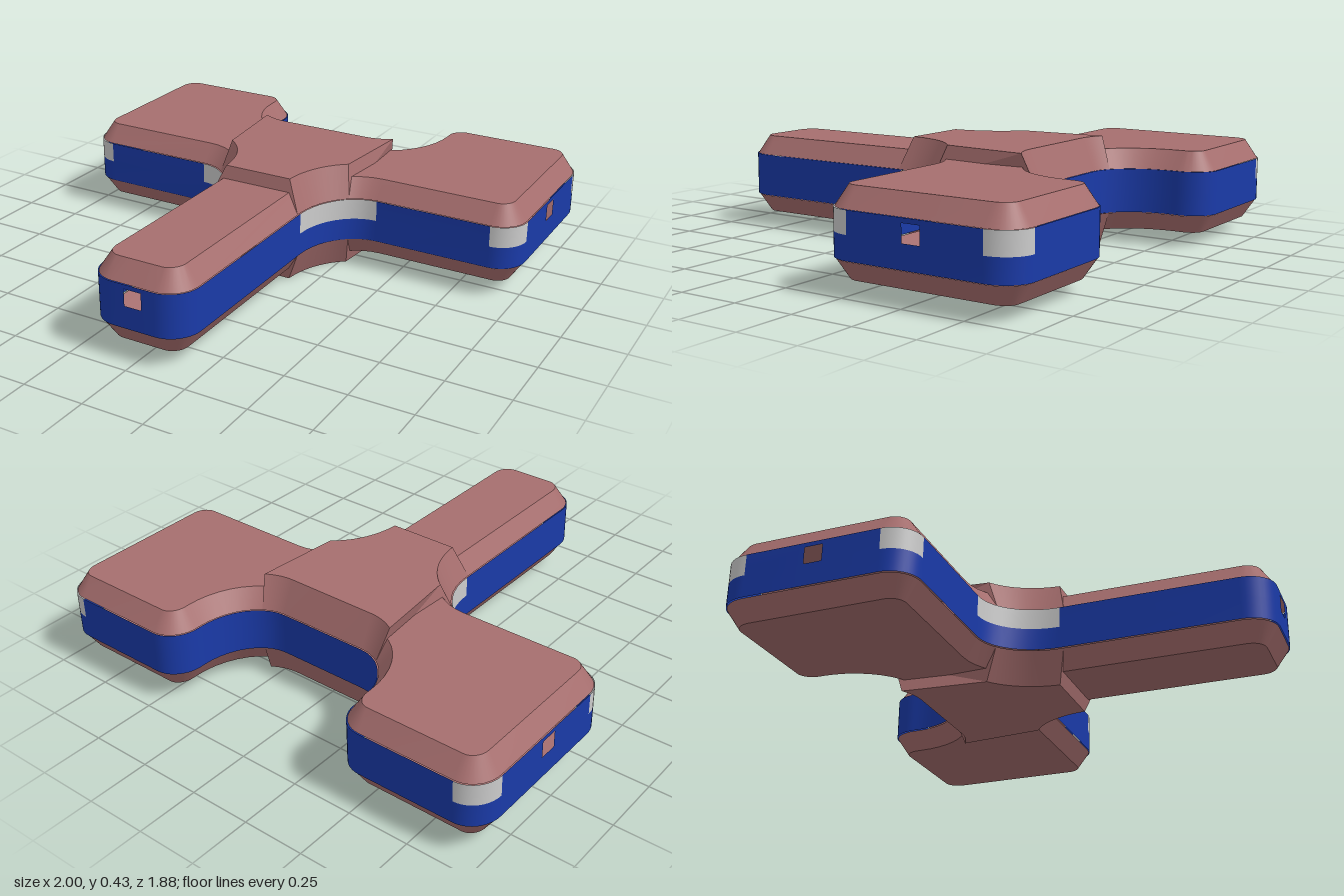
import * as THREE from 'three';
import { toCreasedNormals } from 'three/addons/utils/BufferGeometryUtils.js';

const H = 0.433, PI = Math.PI;
const BLUE = 0x1a3aa8, RED = 0xa66e6e, GREY = 0xcccccc;

// Elliptical arc as a list of [x, z] points
function arc(cx, cz, rx, rz, a0, a1, n = 10) {
  return Array.from({ length: n + 1 }, (_, i) => {
    const a = a0 + ((a1 - a0) * i) / n;
    return [cx + rx * Math.cos(a), cz + rz * Math.sin(a)];
  });
}

const fillet = (d, end) => arc(0.41, 0.1, 0.205 + d, 0.26 + d, PI, end);
const notch = (d, start) => arc(0.19, -0.8, 0.195 + d, 0.25 + d, start, PI / 2);

// Right half of the outline, inset by d; each piece carries a tag for its segments
function bodyHalf(d) {
  const pieces = [
    [[[0, 0.94 - d], [0.036, 0.94 - d]], 'port'],
    [arc(0.09, 0.82, 0.115 - d, 0.12 - d, PI / 2, 0), 'plain'],
    [fillet(d, PI * 1.5), 'pad'],
    [arc(0.89, -0.275, 0.11 - d, 0.115 - d, PI / 2, 0), 'pad'],
    [[[1 - d, -0.505], [1 - d, -0.577]], 'port'],
    [arc(0.89, -0.82, 0.11 - d, 0.12 - d, 0, -PI / 2), 'pad'],
    [arc(0.495, -0.82, 0.11 - d, 0.12 - d, -PI / 2, -PI), 'plain'],
    [notch(d, 0), 'plain'],
    [[[0, -0.55 + d]], 'plain'],
  ];
  const pts = [], tags = [];
  for (const [list, tag] of pieces) {
    list.forEach((p, i) => {
      pts.push(p);
      tags.push(i < list.length - 1 ? tag : 'plain');
    });
  }
  tags.pop();
  return { pts, tags };
}

// Right half of the raised centre
function centreHalf(d, front) {
  const curve = fillet(d, PI + 1.03);
  curve[0][1] = front;
  return [[0, front], ...curve, ...notch(d, 1.1), [0, -0.55 + d]];
}

const mirrorLoop = (half) => [
  ...half,
  ...half.slice(1, -1).reverse().map(([x, z]) => [-x, z]),
];

// Wall between two matching loops at two heights
function wall(out, low, y0, high, y1, keep = () => true) {
  const n = low.length;
  for (let i = 0; i < n; i++) {
    if (!keep(i)) continue;
    const j = (i + 1) % n;
    const a = [low[i][0], y0, low[i][1]], b = [low[j][0], y0, low[j][1]];
    const c = [high[j][0], y1, high[j][1]], e = [high[i][0], y1, high[i][1]];
    out.push(a, b, c, a, c, e);
  }
}

function cap(out, loop, y) {
  const flat = loop.map(([x, z]) => new THREE.Vector2(x, -z));
  for (const f of THREE.ShapeUtils.triangulateShape(flat, [])) {
    for (const k of f) out.push([loop[k][0], y, loop[k][1]]);
  }
}

function makeMesh(name, corners, color, flip = false) {
  let list = corners;
  // Upside-down copy, with the corner order reversed
  if (flip) list = corners.map(([x, y, z]) => [x, H - y, z]).reverse();
  let geo = new THREE.BufferGeometry();
  geo.setAttribute('position', new THREE.Float32BufferAttribute(list.flat(), 3));
  geo = toCreasedNormals(geo, 0.45);
  const mesh = new THREE.Mesh(
    geo,
    new THREE.MeshStandardMaterial({ color, side: THREE.DoubleSide })
  );
  mesh.name = name;
  return mesh;
}

export function createModel() {
  const group = new THREE.Group();
  group.name = 'teeShapedHousing';

  // Hollow side band with square ports, and pads on the upper part of its corners
  const half = bodyHalf(0);
  const loop = mirrorLoop(half.pts);
  const tags = [...half.tags, ...half.tags.slice().reverse()];
  const levels = [0.13, 0.22, 0.287, 0.305];
  const band = [], pads = [];
  for (let k = 0; k < 3; k++) {
    const y0 = levels[k], y1 = levels[k + 1];
    wall(band, loop, y0, loop, y1, (i) =>
      k === 0 || (tags[i] !== 'pad' && !(k === 1 && tags[i] === 'port')));
    if (k > 0) wall(pads, loop, y0, loop, y1, (i) => tags[i] === 'pad');
  }
  group.add(makeMesh('sideBand', band, BLUE), makeMesh('cornerPads', pads, GREY));

  // Bevelled cover
  const cover = [];
  const rim = mirrorLoop(bodyHalf(0.004).pts);
  const top = mirrorLoop(bodyHalf(0.055).pts);
  wall(cover, rim, 0.305, top, 0.381);
  cap(cover, top, 0.381);

  // Raised centre plate standing on the cover
  const plate = [];
  const plateRim = mirrorLoop(centreHalf(0.004, 0.115));
  const plateTop = mirrorLoop(centreHalf(0.06, 0.08));
  wall(plate, plateRim, 0.305, plateTop, H);
  cap(plate, plateTop, H);

  // Same cover and plate above and below
  for (const flip of [false, true]) {
    const side = flip ? 'bottom' : 'top';
    group.add(makeMesh(side + 'Cover', cover, RED, flip));
    group.add(makeMesh(side + 'CentrePlate', plate, RED, flip));
  }
  return group;
}
